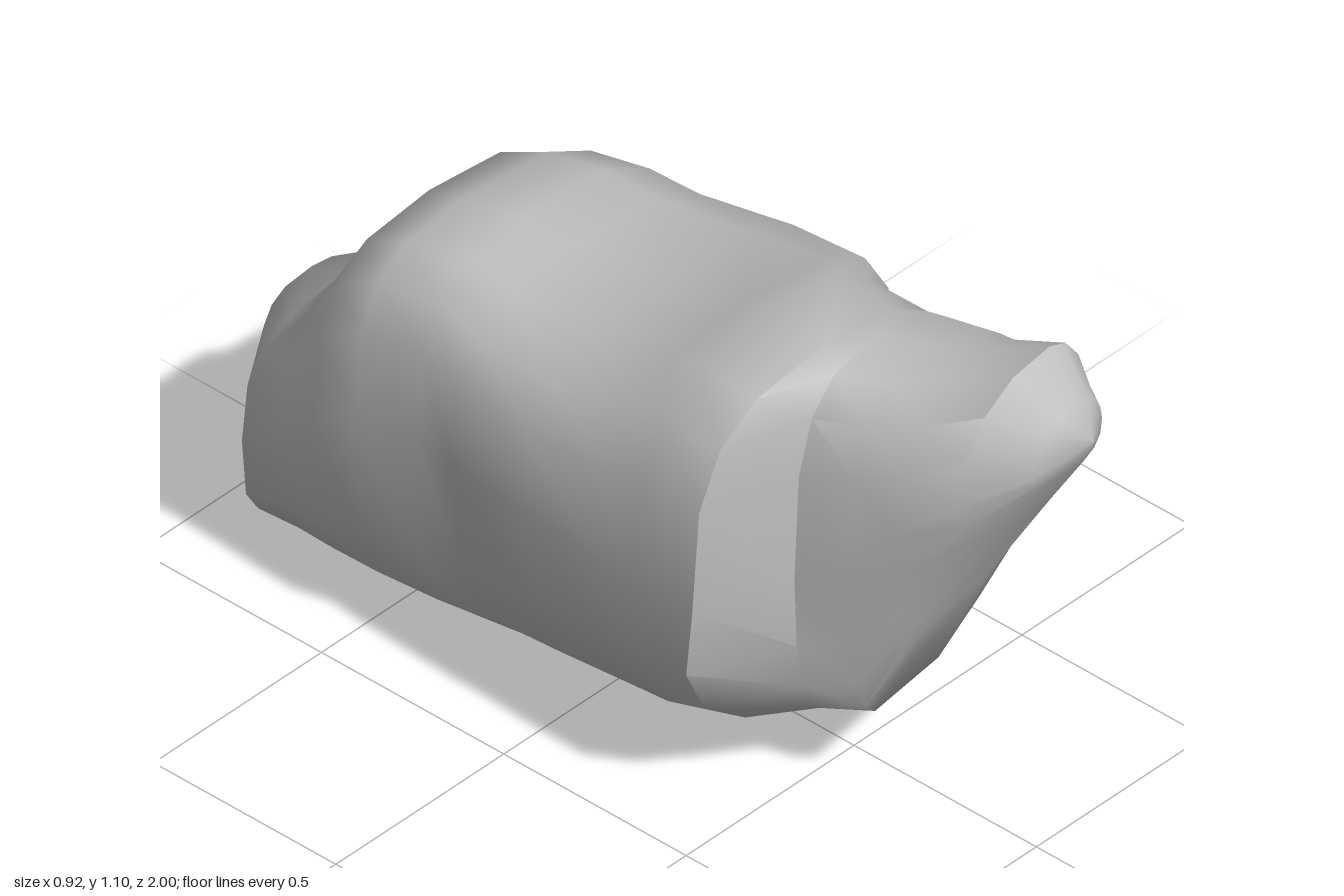
import * as THREE from 'three';
import { toCreasedNormals } from 'three/addons/utils/BufferGeometryUtils.js';

// Cross-sections from front to back:
// z, left x,y, right x,y, top x,y, bottom x,y
const SECTIONS = [
  [0.95, 0.04, 0.88, 0.25, 0.92, 0.18, 1.00, 0.16, 0.84],
  [0.87, -0.09, 0.84, 0.30, 0.86, 0.18, 1.10, 0.08, 0.70],
  [0.74, -0.14, 0.74, 0.33, 0.78, 0.14, 1.05, -0.02, 0.46],
  [0.65, -0.17, 0.60, 0.32, 0.70, 0.08, 1.04, -0.10, 0.22],
  [0.53, -0.21, 0.55, 0.32, 0.64, 0.04, 1.03, -0.10, 0.17],
  [0.48, -0.46, 0.58, 0.32, 0.62, -0.06, 1.04, -0.10, 0.16],
  [0.31, -0.45, 0.56, 0.33, 0.58, -0.03, 1.03, -0.04, 0.09],
  [0.22, -0.45, 0.57, 0.43, 0.56, -0.02, 0.99, -0.02, 0.07],
  [0.00, -0.44, 0.58, 0.46, 0.61, 0.00, 0.92, -0.02, 0.03],
  [-0.22, -0.42, 0.58, 0.42, 0.55, -0.04, 0.92, -0.05, 0.00],
  [-0.34, -0.39, 0.56, 0.40, 0.52, -0.08, 0.95, -0.05, 0.03],
  [-0.47, -0.43, 0.58, 0.37, 0.50, -0.12, 0.95, -0.05, 0.05],
  [-0.60, -0.42, 0.48, 0.33, 0.45, -0.07, 0.88, -0.06, 0.06],
  [-0.70, -0.41, 0.42, 0.26, 0.40, -0.06, 0.71, -0.08, 0.07],
  [-0.81, -0.40, 0.32, 0.18, 0.35, -0.08, 0.57, -0.12, 0.08],
  [-0.95, -0.19, 0.34, 0.07, 0.34, -0.04, 0.49, -0.05, 0.18],
];
const SIDES = 16;

// Squareness of a section: boxy along the top and the rear underside
function squareness(z, isTop) {
  if (isTop) return z > 0.7 ? 2.1 : 3;
  return z < -0.3 ? 3.6 : 2.4;
}

// Joins the four extreme points of a section with rounded quarter curves
function ringPoint([z, lx, ly, rx, ry, tx, ty, bx, by], j) {
  const a = (j / SIDES) * Math.PI * 2;
  const c = Math.cos(a), s = Math.sin(a);
  const e = 2 / squareness(z, s >= 0);
  const u = Math.abs(c) ** e, v = Math.abs(s) ** e;
  const [sx, sy] = c >= 0 ? [rx, ry] : [lx, ly];
  const [px, py] = s >= 0 ? [tx, ty] : [bx, by];
  // The left lobe's front face leans back towards its foot
  const lean = z === 0.48 && c < 0 && s < 0 ? 0.09 * v * u : 0;
  return [px + (sx - px) * u, sy + (py - sy) * v, z - lean];
}

function boulderGeometry() {
  const positions = [], index = [];
  for (const section of SECTIONS)
    for (let j = 0; j < SIDES; j++) positions.push(...ringPoint(section, j));
  const last = (SECTIONS.length - 1) * SIDES;
  const front = last + SIDES, back = front + 1;
  positions.push(0.17, 0.93, 1, 0.01, 0.36, -1);

  for (let j = 0; j < SIDES; j++) {
    const k = (j + 1) % SIDES;
    for (let r = 0; r < last; r += SIDES) {
      const a = r + j, b = r + k, c = a + SIDES, d = b + SIDES;
      index.push(a, c, b, b, c, d);
    }
    // Blunt ends
    index.push(front, j, k, back, last + k, last + j);
  }
  const geometry = new THREE.BufferGeometry();
  geometry.setAttribute('position', new THREE.Float32BufferAttribute(positions, 3));
  geometry.setIndex(index);
  return toCreasedNormals(geometry, 1);
}

export function createModel() {
  const group = new THREE.Group();
  group.name = 'rock';
  const stone = new THREE.MeshStandardMaterial({ color: 0xbcbcbc });
  stone.name = 'grey stone';
  const boulder = new THREE.Mesh(boulderGeometry(), stone);
  boulder.name = 'boulder';
  group.add(boulder);
  return group;
}
